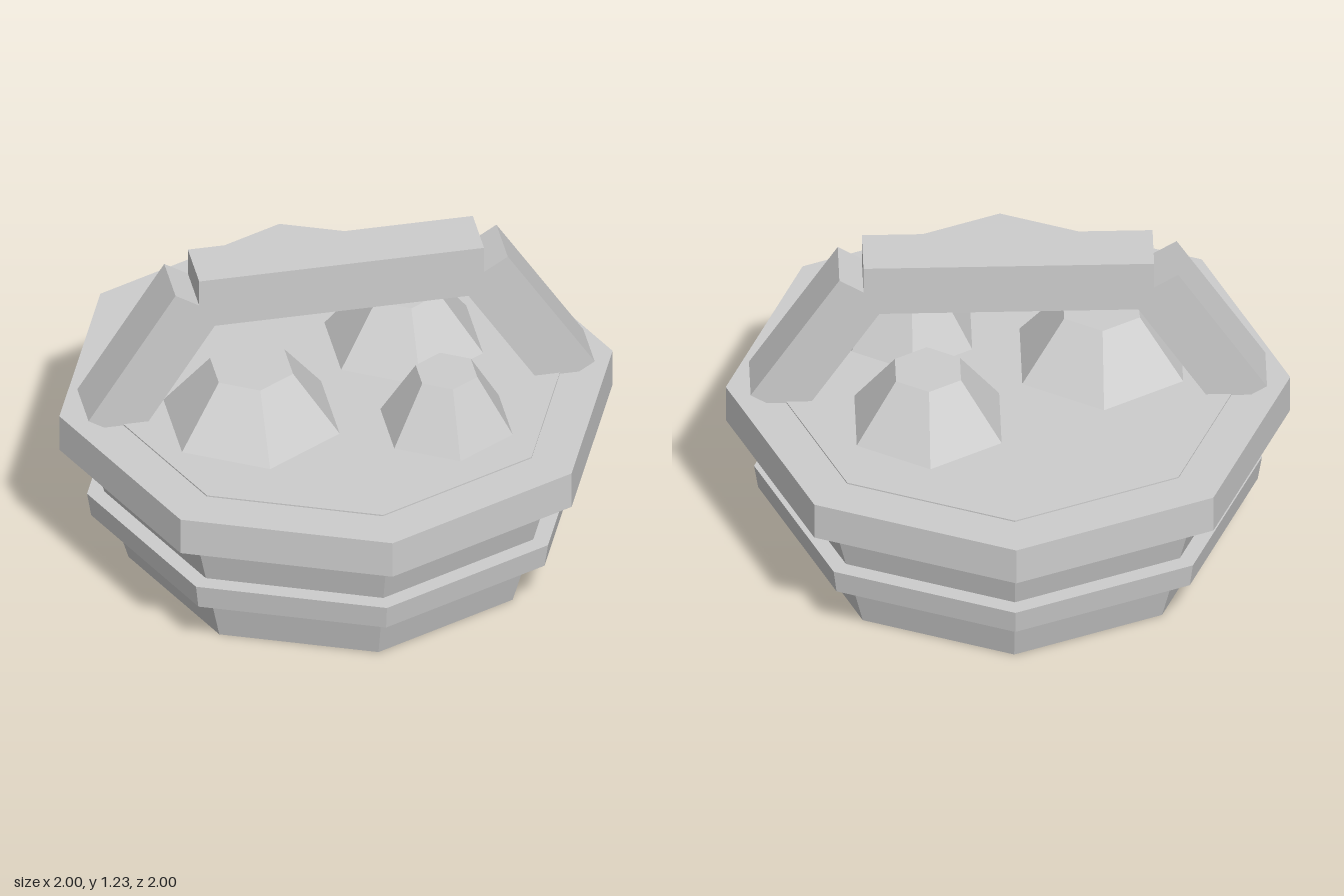
import * as THREE from 'three';

export function createModel() {
  const group = new THREE.Group();
  const grey = new THREE.MeshStandardMaterial({ color: 0xcccccc, flatShading: true });
  grey.name = 'light grey';

  const add = (name, geometry, x, y, z) => {
    const mesh = new THREE.Mesh(geometry, grey);
    mesh.name = name;
    mesh.position.set(x, y, z);
    group.add(mesh);
    return mesh;
  };
  // Faceted frustum standing between two heights
  const frustum = (name, rTop, rBottom, y0, y1, sides, x = 0, z = 0) =>
    add(name, new THREE.CylinderGeometry(rTop, rBottom, y1 - y0, sides), x, (y0 + y1) / 2, z);

  // Octagonal basket
  frustum('basketBody', 0.9, 0.75, 0, 0.51, 8);
  frustum('basketBand', 0.9, 0.885, 0.2, 0.295, 8);
  frustum('basketRim', 1, 1, 0.5, 0.645, 8);
  frustum('basketFilling', 0.83, 0.83, 0.63, 0.65, 8);

  // Hexagonal mounds: x, z, bottom radius, top radius
  [
    [0.29, -0.22, 0.3, 0.133],
    [-0.335, 0.145, 0.333, 0.155],
    [0.335, 0.315, 0.25, 0.115],
  ].forEach(([x, z, rBottom, rTop], i) =>
    frustum('mound' + (i + 1), rTop, rBottom, 0.645, 0.87, 6, x, z));

  // Handle with two slanted arms
  add('handleTop', new THREE.BoxGeometry(1.03, 0.2, 0.2), 0, 1.13, 0);
  for (const side of [1, -1]) {
    const arm = add(side > 0 ? 'leftHandleArm' : 'rightHandleArm',
      new THREE.BoxGeometry(0.2, 0.59, 0.2), side * 0.673, 0.877, 0);
    arm.rotation.z = side * 0.562;
  }
  return group;
}
